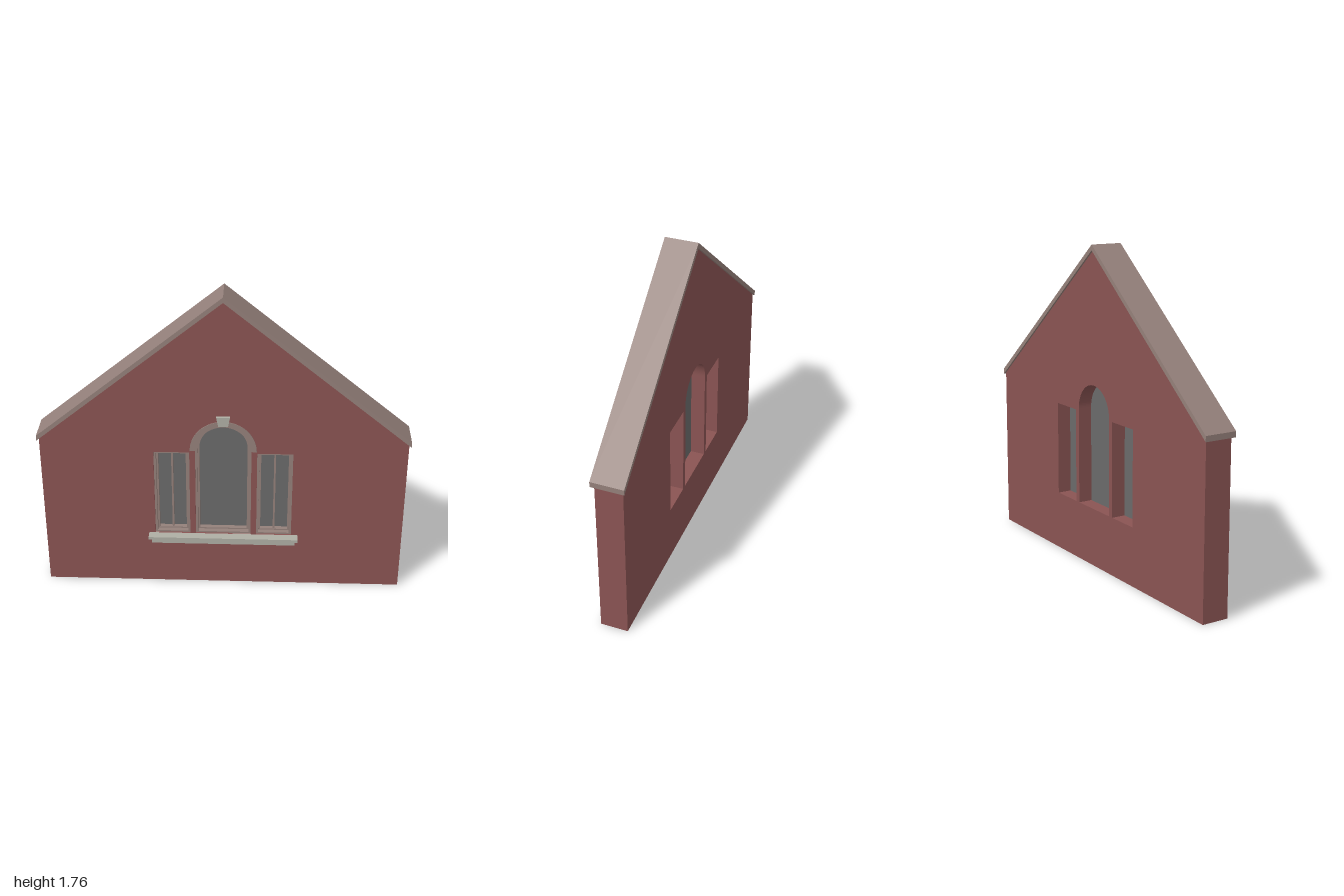
import * as THREE from 'three';

const material = (name, color) => {
  const m = new THREE.MeshStandardMaterial({ color });
  m.name = name;
  return m;
};

// Outline with a flat base and either a round or a flat head
function opening(Type, x, halfWidth, bottom, top, round) {
  const p = new Type();
  p.moveTo(x - halfWidth, bottom);
  p.lineTo(x + halfWidth, bottom);
  p.lineTo(x + halfWidth, top);
  if (round) p.absarc(x, top, halfWidth, 0, Math.PI, false);
  else p.lineTo(x - halfWidth, top);
  p.closePath();
  return p;
}

function polygon(points) {
  return new THREE.Shape(points.map(([x, y]) => new THREE.Vector2(x, y)));
}

export function createModel() {
  const model = new THREE.Group();
  model.name = 'gableWall';
  const brick = material('brick red', 0x8a5453);
  const trim = material('brown stone', 0x94807a);
  const stone = material('pale stone', 0xaeaea4);
  const pane = material('grey glass', 0x6a6a6a);

  const extrude = (parent, name, shape, back, front, mat) => {
    const geometry = new THREE.ExtrudeGeometry(shape, {
      depth: front - back, bevelEnabled: false, curveSegments: 28,
    });
    const mesh = new THREE.Mesh(geometry, mat);
    mesh.name = name;
    mesh.position.z = back;
    parent.add(mesh);
  };
  const box = (parent, name, x0, x1, y0, y1, z0, z1, mat) => {
    const mesh = new THREE.Mesh(new THREE.BoxGeometry(x1 - x0, y1 - y0, z1 - z0), mat);
    mesh.name = name;
    mesh.position.set((x0 + x1) / 2, (y0 + y1) / 2, (z0 + z1) / 2);
    parent.add(mesh);
  };

  // Window layout: centre x, half width, head (spring line when round)
  const windows = [
    { name: 'rightWindow', x: -0.28, half: 0.097, top: 0.848, round: false },
    { name: 'archedWindow', x: 0, half: 0.152, top: 0.86, round: true },
    { name: 'leftWindow', x: 0.28, half: 0.097, top: 0.848, round: false },
  ];
  const base = 0.325;

  // Wall with three openings right through it
  const wall = polygon([[-0.99, 0], [0.99, 0], [0.99, 0.923], [0, 1.73], [-0.99, 0.923]]);
  for (const w of windows) {
    wall.holes.push(opening(THREE.Path, w.x, w.half, base, w.top, w.round));
  }
  extrude(model, 'wall', wall, -0.095, 0.055, brick);

  // Sloping roof coping, one slab per side
  for (const s of [-1, 1]) {
    const slab = polygon([[0, 1.73], [s, 0.915], [s, 0.945], [0, 1.76]]);
    extrude(model, s > 0 ? 'leftCoping' : 'rightCoping', slab, -0.105, 0.075, trim);
  }

  // Stepped frames and glass
  for (const w of windows) {
    const group = new THREE.Group();
    group.name = w.name;
    model.add(group);
    const outline = (Type, inset) => opening(
      Type, w.x, w.half - inset, base + inset * 0.7, w.round ? w.top : w.top - inset, w.round);
    const ring = (name, outer, inner, front) => {
      const shape = outline(THREE.Shape, outer);
      shape.holes.push(outline(THREE.Path, inner));
      extrude(group, name, shape, -0.008, front, trim);
    };
    ring('outerFrame', 0, 0.012, 0.045);
    ring('innerFrame', 0.012, 0.022, 0.018);
    extrude(group, 'glass', outline(THREE.Shape, 0), -0.016, -0.008, pane);
    if (!w.round) {
      box(group, 'mullion', w.x - 0.005, w.x + 0.005, base + 0.012, w.top - 0.02, -0.008, 0.012, trim);
    }
  }

  // Arch band of wedge-shaped blocks
  const arch = new THREE.Group();
  arch.name = 'arch';
  model.add(arch);
  const blocks = 13;
  for (let i = 0; i < blocks; i++) {
    const a = (i / blocks) * Math.PI;
    const b = ((i + 1) / blocks) * Math.PI;
    const block = new THREE.Shape();
    block.absarc(0, 0.86, 0.18, a, b, false);
    block.absarc(0, 0.86, 0.152, b, a, true);
    block.closePath();
    extrude(arch, 'archBlock', block, 0.045, 0.06, trim);
  }
  const keystone = polygon([[-0.026, 1.018], [0.026, 1.018], [0.037, 1.072], [-0.037, 1.072]]);
  extrude(model, 'keystone', keystone, 0.05, 0.07, stone);

  // Two-step window sill
  box(model, 'sillTop', -0.413, 0.413, 0.308, 0.325, 0.05, 0.105, stone);
  box(model, 'sillBase', -0.397, 0.397, 0.28, 0.308, 0.05, 0.092, stone);

  return model;
}
